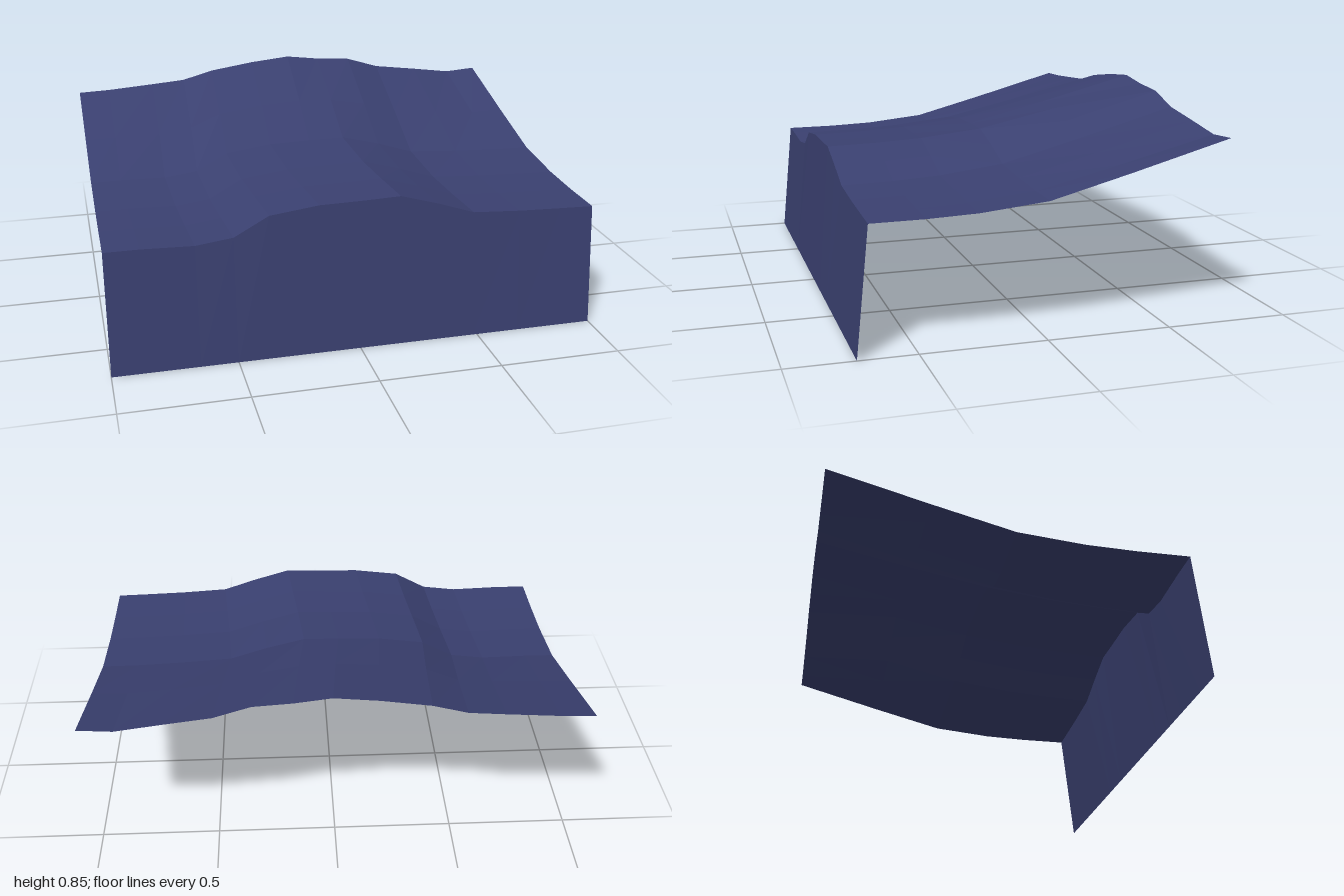
import * as THREE from 'three';

// Heights across the width at the front and back edges: [x, frontY, backY]
const columns = [
  [-1, 0.503, 0.735], [-0.86, 0.503, 0.74], [-0.65, 0.496, 0.755], [-0.5, 0.515, 0.767],
  [-0.36, 0.592, 0.805], [-0.16, 0.617, 0.835], [0.02, 0.62, 0.853], [0.17, 0.625, 0.834],
  [0.33, 0.578, 0.823], [0.48, 0.527, 0.776], [0.68, 0.515, 0.75], [0.86, 0.509, 0.725], [1, 0.505, 0.735],
];
// Rows from back to front: [z, blend from front height to back height, sideways drift of the swell]
const rows = [
  [-0.73, 1, 0], [-0.33, 0.525, -0.03], [0, 0.15, -0.06], [0.27, 0.035, -0.04], [0.47, 0.005, -0.02], [0.68, 0, 0],
];

// Grid of points joined into quads
function sheet(name, grid, material) {
  const positions = grid.flat(2);
  const n = grid[0].length;
  const index = [];
  for (let r = 0; r < grid.length - 1; r++) {
    for (let c = 0; c < n - 1; c++) {
      const a = r * n + c, b = a + n;
      index.push(a, b, a + 1, b, b + 1, a + 1);
    }
  }
  const geometry = new THREE.BufferGeometry();
  geometry.setAttribute('position', new THREE.Float32BufferAttribute(positions, 3));
  geometry.setIndex(index);
  geometry.computeVertexNormals();
  const mesh = new THREE.Mesh(geometry, material);
  mesh.name = name;
  return mesh;
}

export function createModel() {
  const group = new THREE.Group();
  group.name = 'drapedCloth';
  const navy = new THREE.MeshStandardMaterial({ color: 0x3a4070, side: THREE.DoubleSide, flatShading: true });
  navy.name = 'navy cloth';

  // Rolling top that rises to the back
  const top = rows.map(([z, t, drift]) => columns.map(([x, front, back]) => [
    x + drift * (1 - x * x), front + (back - front) * t, z,
  ]));
  group.add(sheet('clothTop', top, navy));

  // Hanging front panel, leaning slightly outward at the hem
  const edge = top[top.length - 1];
  const hem = edge.map(([x]) => [x, 0, 0.73]);
  group.add(sheet('frontPanel', [edge, hem], navy));
  return group;
}
